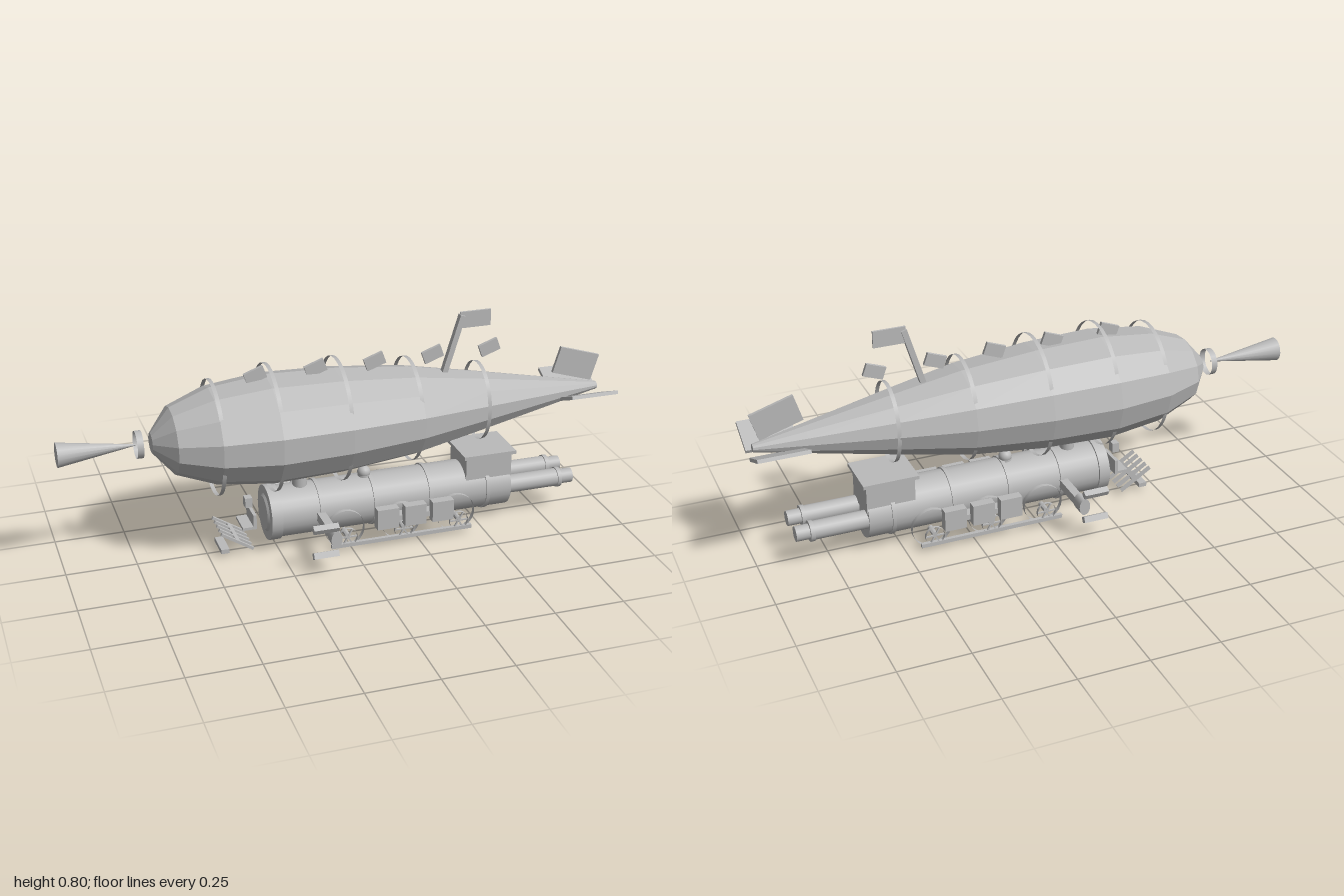
import * as THREE from 'three';

const grey = new THREE.MeshStandardMaterial({ color: 0xbababa, side: THREE.DoubleSide });
grey.name = 'plain grey';

export function createModel() {
  const root = new THREE.Group();
  root.name = 'steamAirship';

  const add = (name, geo, x, y, z, parent = root) => {
    const m = new THREE.Mesh(geo, grey);
    m.name = name;
    m.position.set(x, y, z);
    parent.add(m);
    return m;
  };
  const box = (name, x, y, z, w, h, d, rz = 0, rx = 0) => {
    const m = add(name, new THREE.BoxGeometry(w, h, d), x, y, z);
    m.rotation.set(rx, 0, rz);
    return m;
  };
  // cylinder lying along x, from x0 to x1
  const tubeX = (name, x0, x1, r0, r1, y, z, seg = 24, open = false) => {
    const g = new THREE.CylinderGeometry(r1, r0, x1 - x0, seg, 1, open);
    g.rotateZ(-Math.PI / 2);
    return add(name, g, (x0 + x1) / 2, y, z);
  };
  const faceted = (g) => {
    const f = g.toNonIndexed();
    f.computeVertexNormals();
    return f;
  };

  // Thirteen-sided gas envelope, wider than it is tall
  const AXIS = 0.457;
  const profile = [
    [0, -0.68], [0.04, -0.68], [0.135, -0.61], [0.195, -0.47], [0.222, -0.27], [0.213, -0.02],
    [0.182, 0.25], [0.125, 0.51], [0.058, 0.8], [0.016, 0.98], [0, 0.98],
  ].map(([r, x]) => new THREE.Vector2(r, x));
  const hull = new THREE.LatheGeometry(profile, 13, Math.PI);
  hull.rotateZ(-Math.PI / 2);
  hull.scale(1, 0.86, 1);
  add('envelope', faceted(hull), 0, AXIS, 0);

  // Open hoops that stand clear of the envelope above and below
  [[-0.465, 0.207, 0.448], [-0.265, 0.23, 0.458], [-0.02, 0.225, 0.459], [0.245, 0.19, 0.462], [0.51, 0.145, 0.46]]
    .forEach(([x, r, y]) => {
      tubeX('envelopeHoop', x - 0.007, x + 0.007, r, r, y, 0, 32, true).scale.z = 0.86;
    });

  // Nose cone and open collar
  tubeX('noseCollar', -0.733, -0.711, 0.048, 0.048, AXIS, 0, 24, true);
  tubeX('noseCone', -1, -0.73, 0.043, 0.002, AXIS, 0, 16);

  // Tail fins
  box('topFin', 0.893, 0.553, 0, 0.16, 0.1, 0.012, -0.3);
  for (const s of [1, -1]) box('sideFin', 0.907, AXIS, s * 0.087, 0.18, 0.013, 0.13, 0, -s * 0.42);

  // Mast, flag and the row of pennants
  box('mast', 0.41, 0.68, 0, 0.02, 0.23, 0.022, -0.295);
  box('flag', 0.493, 0.772, 0, 0.115, 0.06, 0.008);
  for (let i = 0; i < 5; i++) box('pennant', -0.31 + i * 0.215, 0.657, 0, 0.073, 0.045, 0.012, 0.35);

  // Boiler with bands
  const BY = 0.13;
  tubeX('boiler', -0.28, 0.62, 0.093, 0.093, BY, 0);
  tubeX('smokeboxRim', -0.285, -0.245, 0.1, 0.1, BY, 0);
  tubeX('smokeboxDoor', -0.292, -0.28, 0.06, 0.075, BY, 0);
  for (const x of [-0.1, 0.1, 0.31, 0.53]) tubeX('boilerBand', x - 0.007, x + 0.007, 0.098, 0.098, BY, 0);

  // Chimney and dome
  add('chimney', new THREE.CylinderGeometry(0.026, 0.026, 0.09, 16), -0.157, 0.24, 0);
  add('chimneyRim', new THREE.CylinderGeometry(0.033, 0.03, 0.016, 16), -0.157, 0.27, 0);
  add('domeBase', new THREE.CylinderGeometry(0.022, 0.024, 0.04, 16), 0.083, 0.222, 0);
  add('dome', new THREE.SphereGeometry(0.024, 16, 10), 0.083, 0.235, 0);

  // Cab and roof
  box('cab', 0.535, 0.21, 0, 0.175, 0.12, 0.156);
  box('cabRoof', 0.535, 0.272, 0, 0.2, 0.013, 0.18);

  for (const s of [1, -1]) {
    // Rear exhaust pipes
    tubeX('exhaustPipe', 0.6, 0.812, 0.033, 0.033, BY, s * 0.055);
    tubeX('exhaustRim', 0.81, 0.825, 0.037, 0.037, BY, s * 0.055);
    tubeX('exhaustTip', 0.82, 0.873, 0.027, 0.027, BY, s * 0.055);

    // Wheels: open rims, hubs and outer spoked wheels
    for (const x of [-0.02, 0.19, 0.4]) {
      const rim = new THREE.CylinderGeometry(0.072, 0.072, 0.018, 24, 1, true);
      rim.rotateX(Math.PI / 2);
      add('wheelRim', rim, x, 0.072, s * 0.097);
      const hub = new THREE.CylinderGeometry(0.01, 0.01, 0.05, 10);
      hub.rotateX(Math.PI / 2);
      add('wheelHub', hub, x, 0.06, s * 0.11);
      const small = new THREE.CylinderGeometry(0.035, 0.035, 0.012, 20, 1, true);
      small.rotateX(Math.PI / 2);
      add('outerRim', small, x, 0.055, s * 0.133);
      for (let k = 0; k < 3; k++) box('spoke', x, 0.055, s * 0.133, 0.005, 0.068, 0.006, 0.52 + k * Math.PI / 3);
    }

    // Side rail and three side boxes
    box('sideRail', 0.185, 0.025, s * 0.132, 0.53, 0.014, 0.014);
    for (const x of [0.123, 0.226, 0.33]) box('sideBox', x, 0.115, s * 0.142, 0.08, 0.077, 0.034);
    box('sideBoxMount', 0.226, 0.097, s * 0.11, 0.24, 0.02, 0.04);

    // Outrigger arm, hub and two blades
    box('outriggerArm', -0.105, 0.13, s * 0.16, 0.03, 0.032, 0.14);
    const hub = new THREE.CylinderGeometry(0.031, 0.031, 0.05, 16);
    hub.rotateX(Math.PI / 2);
    add('outriggerHub', hub, -0.105, 0.13, s * 0.25).scale.x = 0.65;
    for (const v of [1, -1]) box('blade', -0.145, 0.13 + v * 0.05, s * 0.276, 0.09, 0.022, 0.022, 0, s * v * 0.5);
  }

  // Detached front guard: slanted slats, cross bar and lamp
  for (let i = -2; i <= 2; i++) box('guardSlat', -0.405, 0.067, i * 0.033, 0.135, 0.01, 0.011, -0.57);
  box('guardCrossBar', -0.405, 0.067, 0, 0.02, 0.01, 0.14, -0.57);
  box('guardFoot', -0.445, 0.024, 0, 0.03, 0.016, 0.1);
  box('frontLamp', -0.347, 0.183, 0, 0.026, 0.036, 0.03);
  box('frontPost', -0.335, 0.122, 0, 0.012, 0.055, 0.1);
  box('frontStep', -0.357, 0.1, 0, 0.045, 0.01, 0.1);

  return root;
}
